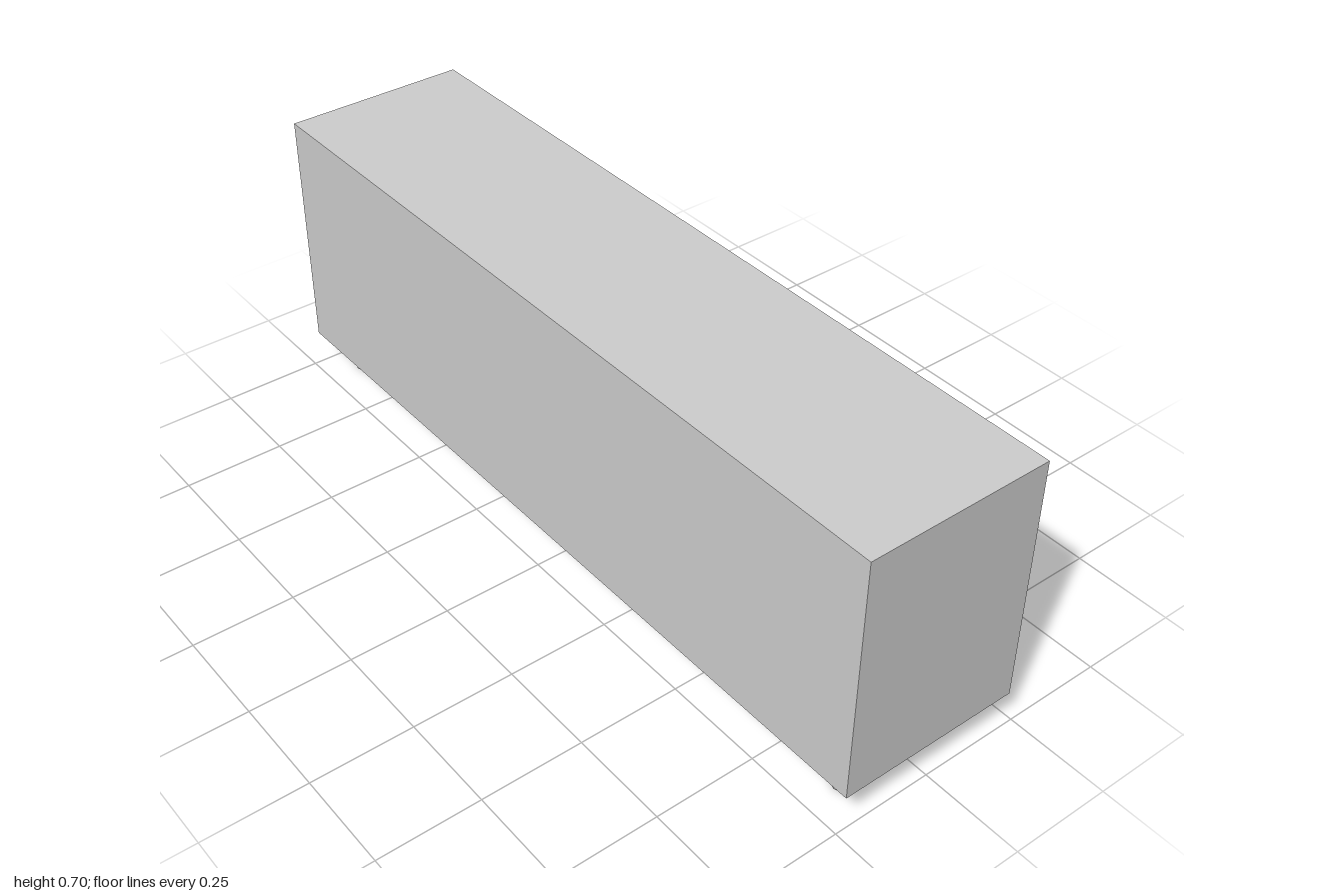
import * as THREE from 'three';

export function createModel() {
  const model = new THREE.Group();
  model.name = 'bench';
  const grey = new THREE.MeshStandardMaterial({ color: 0xcccccc, flatShading: true, side: THREE.DoubleSide });
  grey.name = 'light grey';

  const legHeight = 0.09;
  const top = 0.705;

  // Plain block body
  const body = new THREE.Mesh(new THREE.BoxGeometry(2, top - legHeight, 0.46), grey);
  body.name = 'body';
  body.position.y = (top + legHeight) / 2;
  model.add(body);

  // Four tapered eight-sided legs, hollow at the bottom
  const legGeometry = new THREE.CylinderGeometry(0.044, 0.031, legHeight, 8, 1, true);
  for (const [end, x] of [['left', 0.912], ['right', -0.912]]) {
    for (const [side, z] of [['Front', 0.143], ['Back', -0.143]]) {
      const leg = new THREE.Mesh(legGeometry, grey);
      leg.name = `${end}${side}Leg`;
      leg.position.set(x, legHeight / 2, z);
      model.add(leg);
    }
  }
  return model;
}
